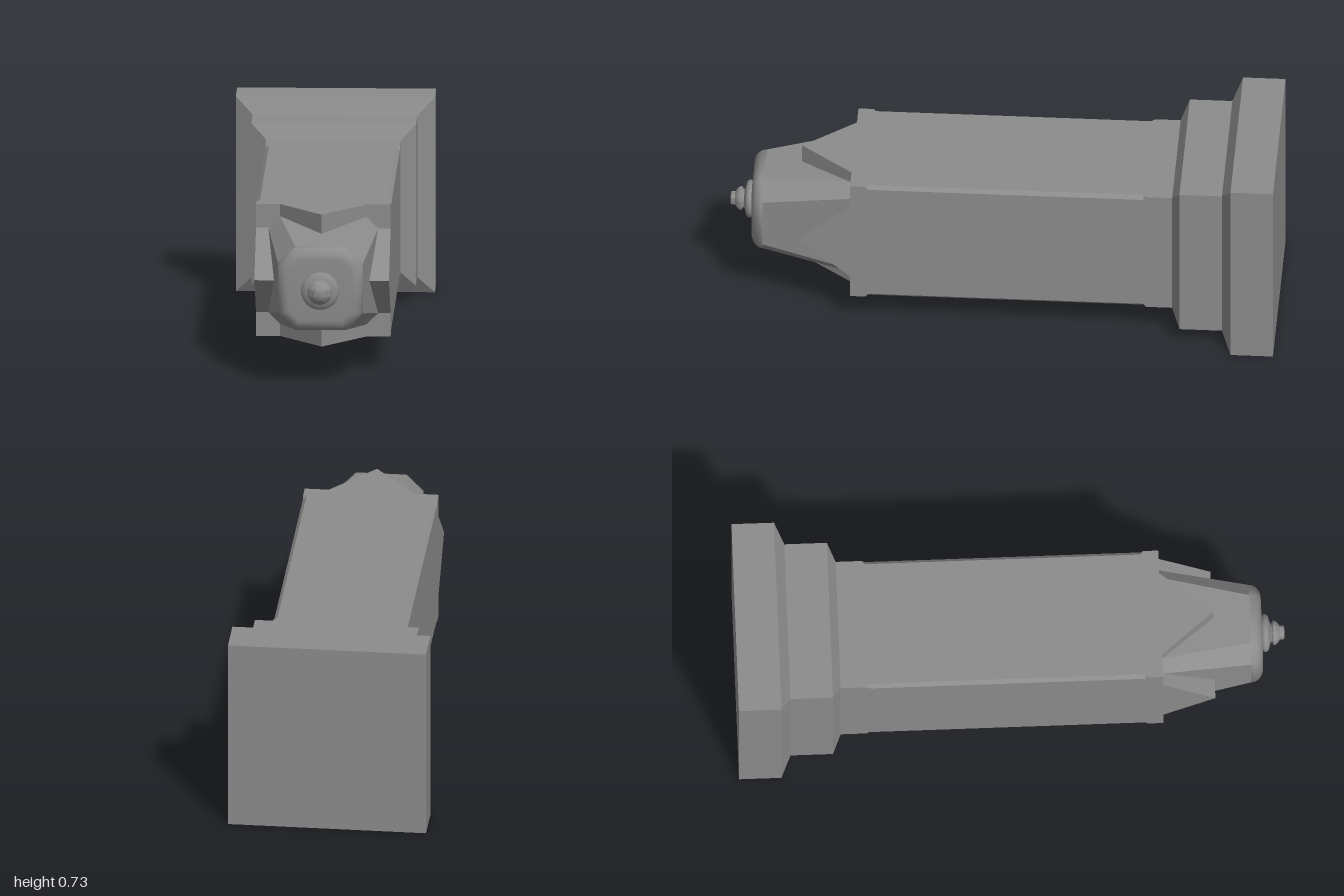
import * as THREE from 'three';
import { toCreasedNormals } from 'three/addons/utils/BufferGeometryUtils.js';

// Eight-cornered section: half width a, flat side half length b (b = a gives a square)
const section = (z, a, b = a) =>
  [[a, -b], [a, b], [b, a], [-b, a], [-a, b], [-a, -b], [-b, -a], [b, -a]]
    .map(([x, y]) => new THREE.Vector3(x, y, z));

// Skin a list of sections running along +z and close both ends
function loft(rings, crease = 0.1) {
  const pos = [];
  const tri = (a, b, c) => {
    if (new THREE.Triangle(a, b, c).getArea() > 1e-9) for (const p of [a, b, c]) pos.push(p.x, p.y, p.z);
  };
  const first = rings[0], last = rings[rings.length - 1];
  const c0 = new THREE.Vector3(0, 0, first[0].z), c1 = new THREE.Vector3(0, 0, last[0].z);
  for (let j = 0; j < 8; j++) {
    const k = (j + 1) % 8;
    for (let i = 0; i + 1 < rings.length; i++) {
      const r = rings[i], s = rings[i + 1];
      tri(r[j], r[k], s[k]);
      tri(r[j], s[k], s[j]);
    }
    tri(c0, first[k], first[j]);
    tri(c1, last[j], last[k]);
  }
  const g = new THREE.BufferGeometry();
  g.setAttribute('position', new THREE.Float32BufferAttribute(pos, 3));
  return toCreasedNormals(g, crease);
}

export function createModel() {
  const model = new THREE.Group();
  const grey = new THREE.MeshStandardMaterial({ color: 0x8c8c8c });
  grey.name = 'stone grey';
  const body = new THREE.Group();
  body.name = 'tower';
  body.position.y = 0.3625;
  model.add(body);
  const add = (name, geometry) => {
    const mesh = new THREE.Mesh(geometry, grey);
    mesh.name = name;
    body.add(mesh);
    return mesh;
  };

  // Stepped square base
  add('base', loft([
    section(-1, 0.3625), section(-0.845, 0.3625), section(-0.81, 0.3),
    section(-0.655, 0.3), section(-0.625, 0.245),
  ]));

  // Square shaft with stopped chamfers on its long edges
  add('shaft', loft([
    section(-0.64, 0.245), section(-0.53, 0.245), section(-0.52, 0.245, 0.232),
    section(0.485, 0.245, 0.232), section(0.495, 0.245), section(0.55, 0.245),
  ]));

  // One pointed gable at the end of each side
  const triangle = new THREE.Shape([[-0.157, -0.55], [0, -0.74], [0.157, -0.55]]
    .map(([x, y]) => new THREE.Vector2(x, y)));
  const gable = new THREE.ExtrudeGeometry(triangle, { depth: 0.115, bevelEnabled: false });
  gable.rotateX(-Math.PI / 2).translate(0, 0.13, 0);
  for (let i = 0; i < 4; i++) add('gable', gable).rotation.z = i * Math.PI / 2;

  // Tapering eight-sided cap with a rounded end
  const a = 0.155, b = 0.093, round = 0.045, z0 = 0.875;
  add('cap', loft([section(0.54, 0.2014, 0.159), section(z0, a, b)]));
  const rings = [];
  for (let i = 0; i <= 8; i++) {
    const t = (i / 8) * Math.PI / 2, d = round * (1 - Math.cos(t));
    rings.push(section(z0 + 0.043 * Math.sin(t), a - d, b - 0.414 * d));
  }
  add('capEnd', loft(rings, 0.8));

  // Turned finial
  const profile = [
    [0, 0.91], [0.05, 0.91], [0.062, 0.918], [0.069, 0.926], [0.069, 0.934], [0.062, 0.942],
    [0.046, 0.946], [0.034, 0.95], [0.036, 0.955], [0.044, 0.959], [0.044, 0.967],
    [0.036, 0.976], [0.025, 0.984], [0.025, 0.997], [0.022, 1], [0, 1],
  ].map(([r, z]) => new THREE.Vector2(r, z));
  add('finial', toCreasedNormals(new THREE.LatheGeometry(profile, 32).rotateX(Math.PI / 2), 0.9));

  return model;
}
